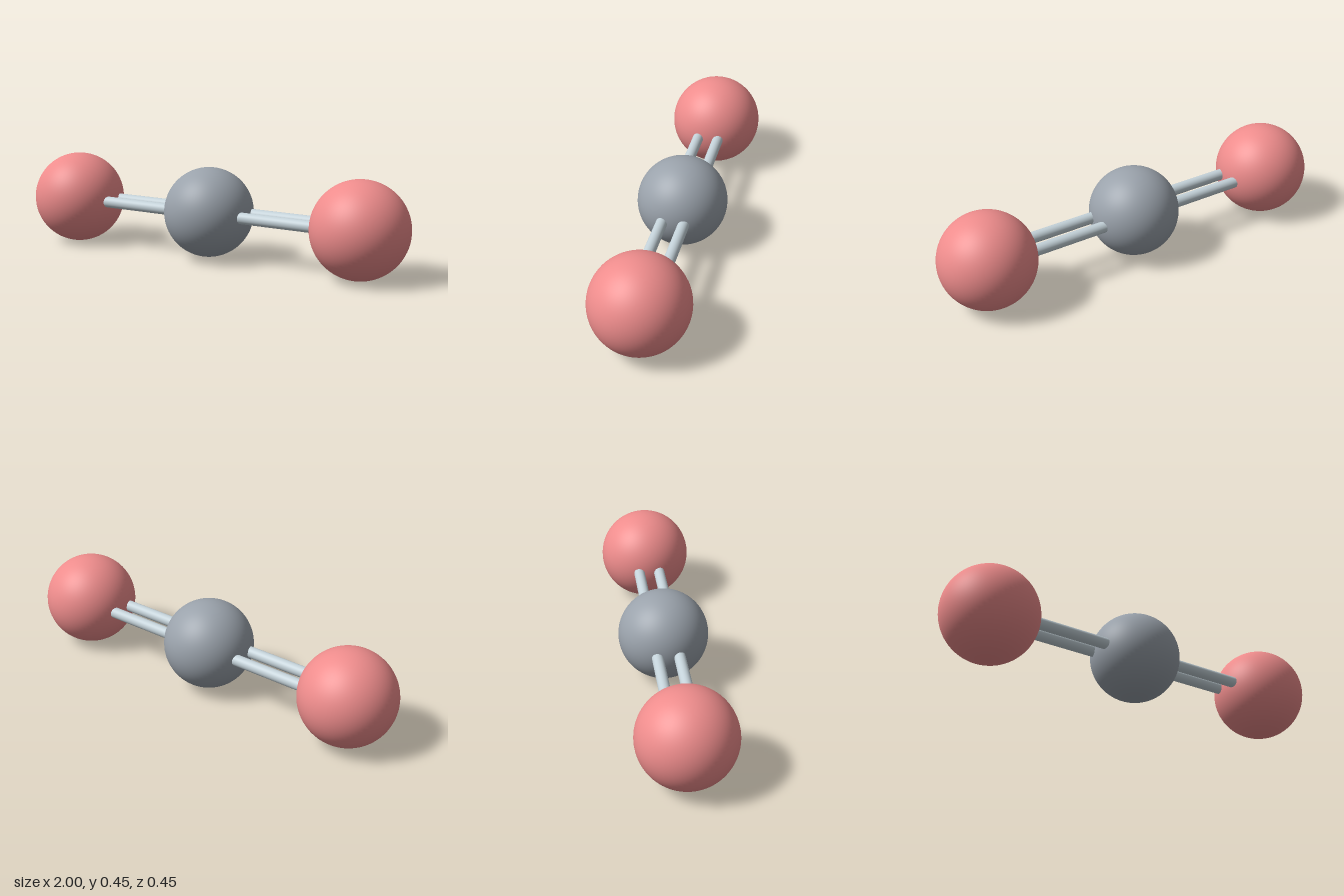
import * as THREE from 'three';

const ATOM_X = 0.776;
const OUTER_R = 0.224;
const CENTRE_R = 0.213;
const BOND_R = 0.027;
const BOND_Z = 0.051;

export function createModel() {
  const model = new THREE.Group();
  model.name = 'moleculeModel';

  const red = new THREE.MeshStandardMaterial({ color: 0xee8c8c });
  const grey = new THREE.MeshStandardMaterial({ color: 0x9aa2ab });
  const pale = new THREE.MeshStandardMaterial({ color: 0xc4d2d9 });

  const add = (name, geometry, material, x, z = 0) => {
    const mesh = new THREE.Mesh(geometry, material);
    mesh.name = name;
    mesh.position.set(x, OUTER_R, z);
    model.add(mesh);
  };

  // Central atom
  add('centreAtom', new THREE.SphereGeometry(CENTRE_R, 64, 48), grey, 0);

  // Outer atoms, each joined to the centre by a double bond
  const outerAtom = new THREE.SphereGeometry(OUTER_R, 64, 48);
  const bond = new THREE.CylinderGeometry(BOND_R, BOND_R, ATOM_X, 32).rotateZ(Math.PI / 2);
  for (const [side, s] of [['left', 1], ['right', -1]]) {
    add(side + 'Atom', outerAtom, red, s * ATOM_X);
    add(side + 'FrontBond', bond, pale, s * ATOM_X / 2, BOND_Z);
    add(side + 'BackBond', bond, pale, s * ATOM_X / 2, -BOND_Z);
  }
  return model;
}
